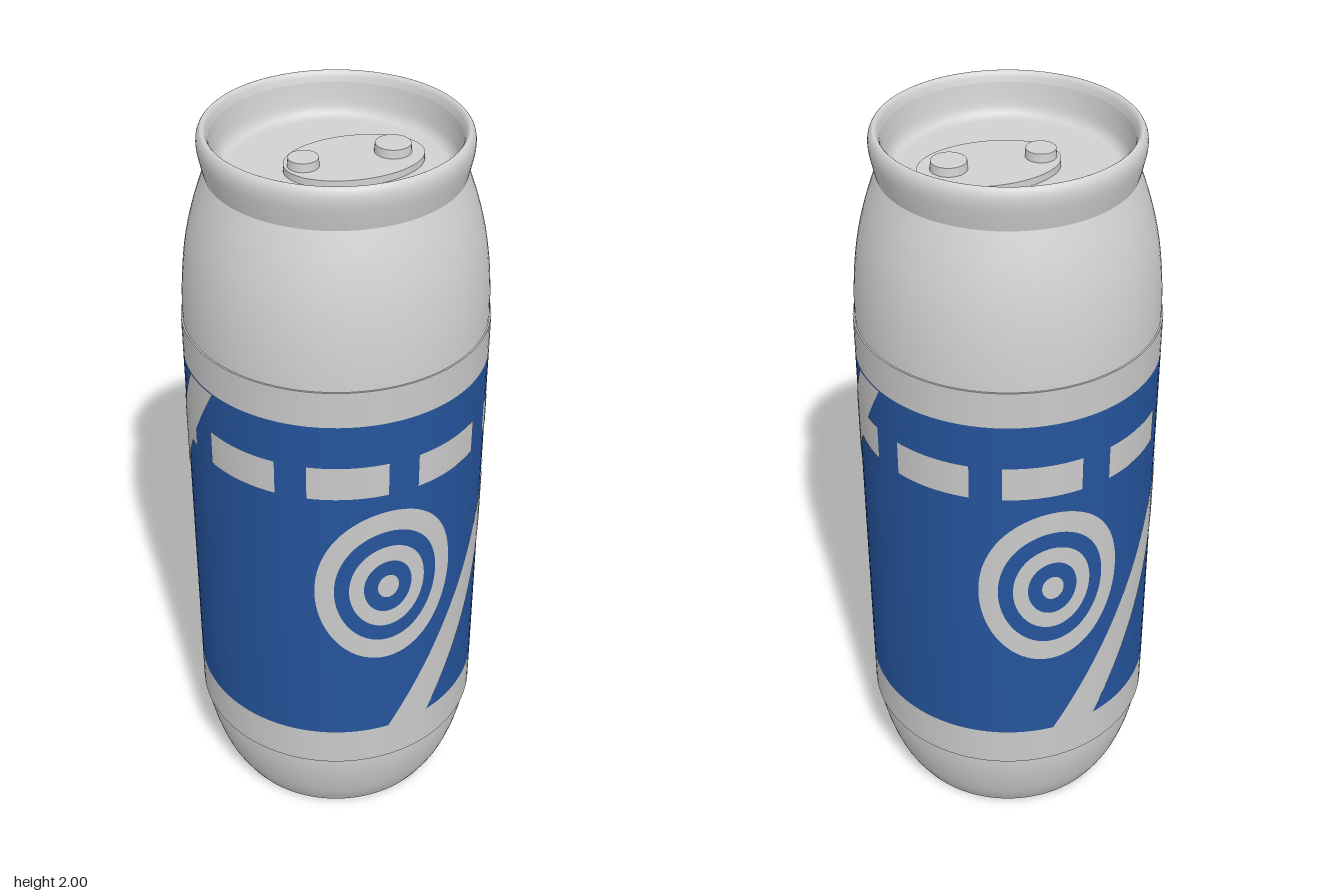
import * as THREE from 'three';

const SEG = 96;
const LABEL_R = 0.394;

// Smooth curve through a few [radius, height] points
function curve(points, n = 24) {
  return new THREE.SplineCurve(points.map(([r, y]) => new THREE.Vector2(r, y))).getPoints(n);
}

// Bends a flat geometry, read as (angle, height), around the can; angle 0 is the front
function wrap(geo, radius) {
  const p = geo.attributes.position;
  const n = geo.attributes.normal;
  for (let i = 0; i < p.count; i++) {
    const a = p.getX(i);
    n.setXYZ(i, Math.sin(a), 0, Math.cos(a));
    p.setXYZ(i, radius * Math.sin(a), p.getY(i), radius * Math.cos(a));
  }
  return geo;
}

export function createModel() {
  const metal = new THREE.MeshStandardMaterial({ color: 0xcfd1d3 });
  metal.name = 'metal grey';
  const print = new THREE.MeshStandardMaterial({ color: 0xcacaca });
  print.name = 'label grey';
  const blue = new THREE.MeshStandardMaterial({ color: 0x25549c });
  blue.name = 'label blue';

  const can = new THREE.Group();
  can.name = 'drinkCan';

  function add(name, geo, mat, parent = can) {
    const mesh = new THREE.Mesh(geo, mat);
    mesh.name = name;
    parent.add(mesh);
    return mesh;
  }
  const lathe = (name, pts, mat = metal, parent = can) =>
    add(name, new THREE.LatheGeometry(pts, SEG), mat, parent);

  // Concave base and its standing ring
  lathe('baseDome', curve([[0, 0.12], [0.12, 0.105], [0.22, 0.065], [0.29, 0.004]]));
  lathe('standingRing', curve([[0.29, 0.004], [0.3, 0], [0.312, 0.004]], 8));

  // Outer wall: rounded foot, straight middle, shoulder
  lathe('foot', curve([[0.312, 0.004], [0.342, 0.06], [0.366, 0.13], [0.382, 0.2], [0.389, 0.27], [0.39, 0.34]]));
  lathe('wall', curve([[0.39, 0.34], [0.39, 1.45]], 1));
  lathe('shoulder', curve([[0.39, 1.45], [0.389, 1.54], [0.383, 1.63], [0.37, 1.72], [0.35, 1.8], [0.33, 1.86], [0.319, 1.89]]));

  // Rolled rim, recess wall and lid floor
  lathe('rim', curve([[0.319, 1.89], [0.327, 1.925], [0.333, 1.96], [0.331, 1.985], [0.321, 2.0], [0.311, 1.994], [0.304, 1.975]], 32));
  lathe('recessWall', curve([[0.304, 1.975], [0.299, 1.94], [0.292, 1.91], [0.28, 1.894], [0.265, 1.89]]));
  lathe('lid', curve([[0.265, 1.89], [0, 1.89]], 1));

  // Oval opening tab with two studs
  const tab = new THREE.Group();
  tab.name = 'openingTab';
  tab.position.y = 1.89;
  can.add(tab);
  const plate = add('tabPlate', new THREE.CylinderGeometry(1, 1, 0.018, 64), metal, tab);
  plate.scale.set(0.177, 1, 0.118);
  plate.position.set(0.047, 0.009, 0);
  for (const [name, x, r] of [['rivet', -0.083, 0.039], ['tabStud', 0.147, 0.046]]) {
    const stud = add(name, new THREE.CylinderGeometry(r * 0.96, r, 0.022, 32), metal, tab);
    stud.position.set(x, 0.029, 0);
  }

  // Label sleeve: grey border bands around a blue field
  const label = new THREE.Group();
  label.name = 'label';
  can.add(label);
  const band = (name, pts, mat) =>
    lathe(name, pts.map(([r, y]) => new THREE.Vector2(r, y)), mat, label);
  band('lowerBand', [[LABEL_R, 0.25], [LABEL_R, 0.366]], print);
  band('blueField', [[LABEL_R, 0.366], [LABEL_R, 1.4]], blue);
  band('upperBand', [[LABEL_R, 1.4], [LABEL_R, 1.5]], print);
  band('lowerLip', [[0.385, 0.25], [LABEL_R, 0.25]], print);
  band('upperLip', [[LABEL_R, 1.5], [0.385, 1.5]], print);

  // Row of dashes; the ninth overlaps the first at the seam
  for (let k = 0; k < 9; k++) {
    const dash = new THREE.PlaneGeometry(0.525, 0.096, 12, 1);
    dash.translate(1.335 + 0.735 * k + 0.2625, 1.231, 0);
    add('dash', wrap(dash, LABEL_R + 0.0015), print, label);
  }

  // Slanted stripe and ringed target, on the front and again on the back
  for (const turn of [0, Math.PI]) {
    const stripe = new THREE.PlaneGeometry(1, 1, 8, 40);
    const p = stripe.attributes.position;
    for (let i = 0; i < p.count; i++) {
      const u = p.getX(i) + 0.5;
      const h = (p.getY(i) + 0.5) * 1.034;
      p.setXY(i, turn + 0.02 + 1.55 * h + u * (0.32 - 0.03 * h), 0.366 + h);
    }
    add('slantedStripe', wrap(stripe, LABEL_R + 0.002), print, label);

    for (const [inner, outer] of [[0.74, 1], [0.34, 0.54], [0, 0.15]]) {
      const ring = inner
        ? new THREE.RingGeometry(inner, outer, 72, 3)
        : new THREE.CircleGeometry(outer, 32);
      ring.scale(0.494, 0.248, 1);
      ring.translate(turn, 0.882, 0);
      add('targetRing', wrap(ring, LABEL_R + 0.0015), print, label);
    }
  }

  return can;
}
